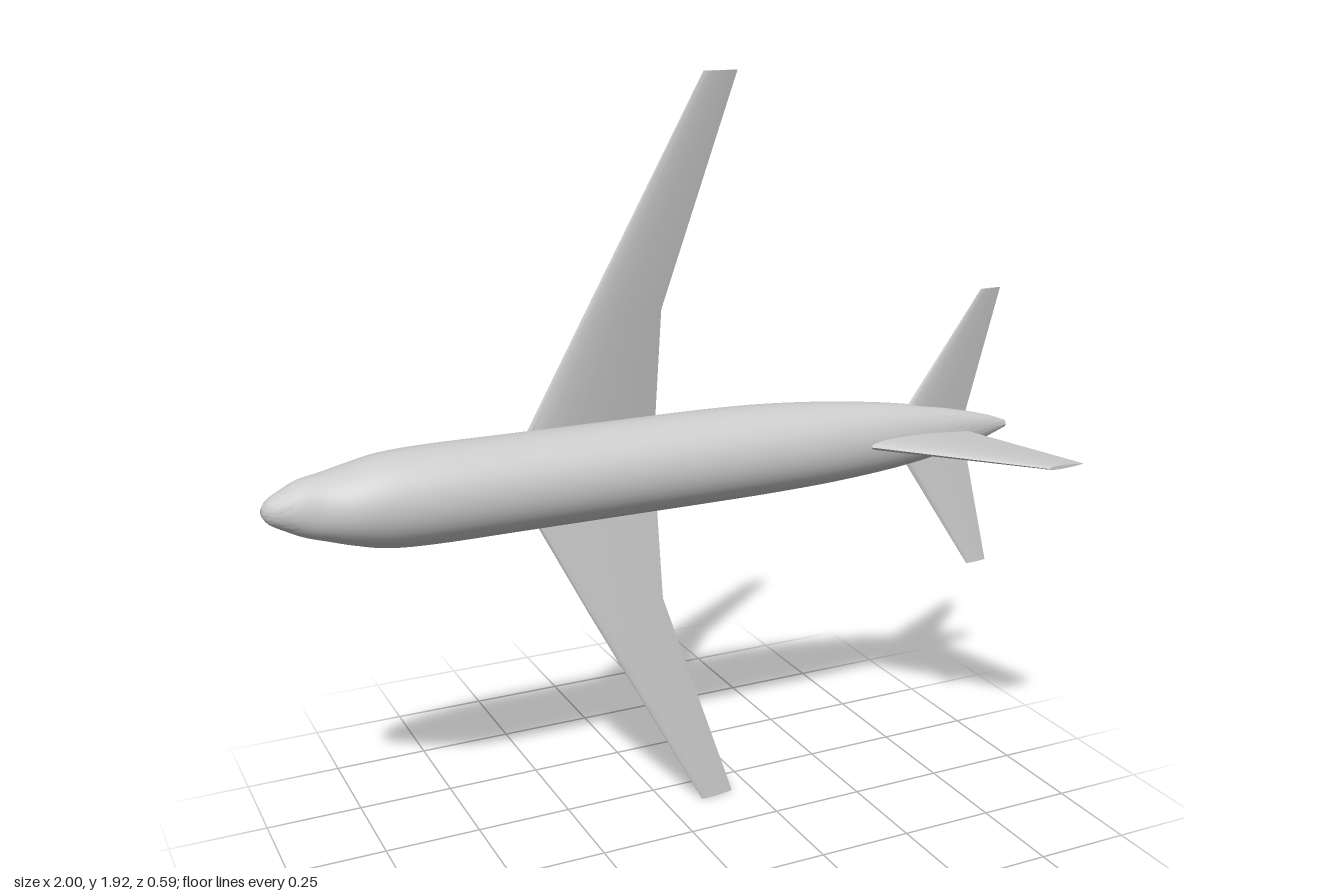
import * as THREE from 'three';
import { toCreasedNormals } from 'three/addons/utils/BufferGeometryUtils.js';

const CY = 0.9625; // height of the fuselage axis; nose towards -x, roof towards +z

// Skin closed rings of points (counter-clockwise about the direction of travel) and cap both ends.
function loft(rings, crease) {
  const n = rings[0].length, last = rings.length - 1;
  const points = rings.flat(), index = [];
  for (let i = 0; i < last; i++) {
    for (let j = 0; j < n; j++) {
      const a = i * n + j, b = i * n + (j + 1) % n;
      index.push(a, b, a + n, b, b + n, a + n);
    }
  }
  for (const end of [0, last]) {
    const centre = new THREE.Vector3();
    rings[end].forEach((p) => centre.addScaledVector(p, 1 / n));
    const c = points.push(centre) - 1;
    for (let j = 0; j < n; j++) {
      const a = end * n + j, b = end * n + (j + 1) % n;
      if (end === 0) index.push(c, b, a);
      else index.push(c, a, b);
    }
  }
  const geometry = new THREE.BufferGeometry().setFromPoints(points);
  geometry.setIndex(index);
  return toCreasedNormals(geometry, crease);
}

// Airfoil ring: trailing edge, lower side, leading edge, upper side.
// section = [span, leading x, trailing x, leading offset, trailing offset, thickness]
function airfoil([span, x0, x1, z0, z1, thick], place) {
  const N = 12, ring = [];
  for (let k = 0; k < 2 * N; k++) {
    const t = (1 + Math.cos(Math.PI * k / N)) / 2;
    const half = 5 * thick * (0.2969 * Math.sqrt(t) - 0.126 * t - 0.3516 * t ** 2 + 0.2843 * t ** 3 - 0.1036 * t ** 4);
    const offset = THREE.MathUtils.lerp(z0, z1, t) + (k < N ? -half : half);
    ring.push(place(THREE.MathUtils.lerp(x0, x1, t), span, offset));
  }
  return ring;
}

// Surface spanning along y, on one side of the fuselage.
function sideSurface(sections, side) {
  const rings = sections.map((s) => airfoil(s, (x, span, off) => new THREE.Vector3(x, CY + side * span, off)));
  if (side < 0) rings.reverse();
  return loft(rings, 0.6);
}

// Fuselage stations: x, half width, belly z, roof z
const STATIONS = [
  [-1, 0.010, -0.220, -0.200], [-0.985, 0.030, -0.235, -0.180], [-0.95, 0.050, -0.253, -0.160],
  [-0.91, 0.069, -0.266, -0.140], [-0.86, 0.081, -0.277, -0.105], [-0.80, 0.097, -0.286, -0.080],
  [-0.72, 0.114, -0.292, -0.066], [-0.60, 0.120, -0.297, -0.058], [-0.40, 0.120, -0.297, -0.057],
  [-0.10, 0.120, -0.297, -0.057], [0.12, 0.120, -0.296, -0.057], [0.30, 0.117, -0.283, -0.057],
  [0.48, 0.107, -0.250, -0.058], [0.66, 0.088, -0.203, -0.065], [0.82, 0.060, -0.156, -0.077],
  [0.93, 0.034, -0.129, -0.090], [1, 0.010, -0.115, -0.100],
];

function fuselageGeometry() {
  const curve = (pick) => new THREE.CatmullRomCurve3(STATIONS.map(pick), false, 'catmullrom', 0.5);
  const widths = curve(([x, w]) => new THREE.Vector3(x, w, 0));
  const heights = curve(([x, , belly, roof]) => new THREE.Vector3(x, belly, roof));
  const rings = [], STEPS = 64, AROUND = 40;
  for (let i = 0; i <= STEPS; i++) {
    const { x, y: width } = widths.getPoint(i / STEPS);
    const { y: belly, z: roof } = heights.getPoint(i / STEPS);
    const ring = [];
    for (let j = 0; j < AROUND; j++) {
      const a = 2 * Math.PI * j / AROUND;
      ring.push(new THREE.Vector3(x, CY + width * Math.cos(a), (belly + roof) / 2 + (roof - belly) / 2 * Math.sin(a)));
    }
    rings.push(ring);
  }
  return loft(rings, 1);
}

export function createModel() {
  const model = new THREE.Group();
  model.name = 'airliner';
  const material = new THREE.MeshStandardMaterial({ color: 0xcccccc });
  const add = (name, geometry) => {
    const mesh = new THREE.Mesh(geometry, material);
    mesh.name = name;
    model.add(mesh);
  };

  add('fuselage', fuselageGeometry());

  // Swept wings with a straight inner trailing edge, and tailplanes
  const wing = [
    [0.06, -0.36, 0.015, -0.245, -0.257, 0.04],
    [0.385, -0.20, 0.015, -0.201, -0.211, 0.024],
    [0.9625, 0.10, 0.195, -0.15, -0.157, 0.01],
  ];
  const tailplane = [
    [0.02, 0.66, 0.88, -0.135, -0.13, 0.022],
    [0.385, 0.885, 0.95, -0.088, -0.092, 0.007],
  ];
  for (const [prefix, side] of [['upper', 1], ['lower', -1]]) {
    add(prefix + 'Wing', sideSurface(wing, side));
    add(prefix + 'Tailplane', sideSurface(tailplane, side));
  }

  // Tail fin rising towards +z
  const fin = [
    [-0.11, 0.503, 0.858, 0, 0, 0.034],
    [0.295, 0.847, 0.955, 0, 0, 0.01],
  ];
  add('tailFin', loft(fin.map((s) => airfoil(s, (x, span, off) => new THREE.Vector3(x, CY - off, span))), 0.6));

  return model;
}
